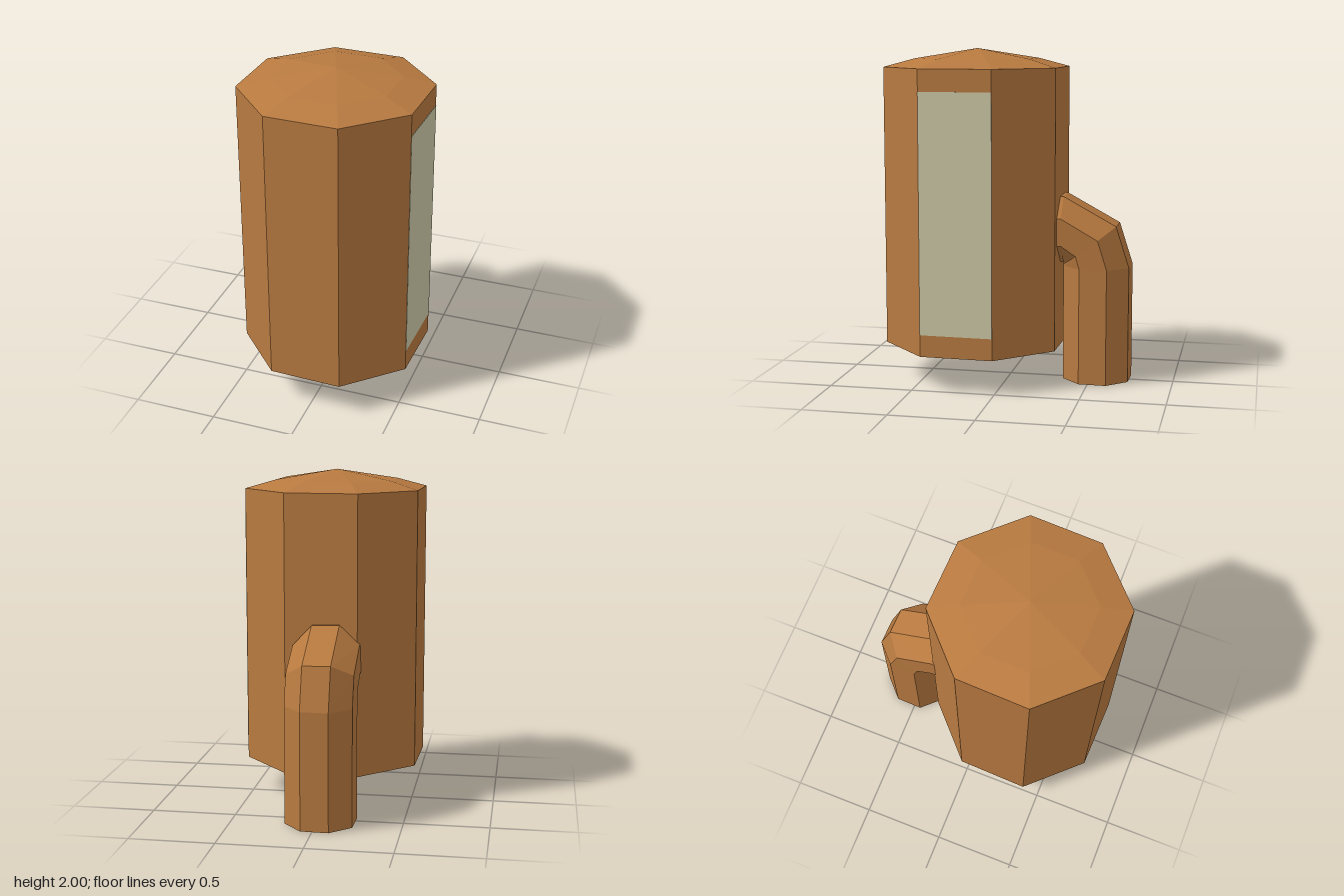
import * as THREE from 'three';

const SIDES = 8;
const TURN = THREE.MathUtils.degToRad(20.7); // slight twist shared by the drum and the pipe

function material(color, side = THREE.FrontSide) {
  return new THREE.MeshStandardMaterial({ color, flatShading: true, side });
}

function addMesh(group, name, geometry, mat) {
  const mesh = new THREE.Mesh(geometry, mat);
  mesh.name = name;
  group.add(mesh);
  return mesh;
}

// Open octagonal tube bent through rings: y, z of the centre and y, z of the outward direction
function bentPipe(radius, rings) {
  const geometry = new THREE.CylinderGeometry(radius, radius, 1, SIDES, rings.length - 1, true, TURN);
  const pos = geometry.attributes.position;
  for (let i = 0; i < pos.count; i++) {
    const [y, z, uy, uz] = rings[Math.floor(i / (SIDES + 1))];
    const out = -pos.getZ(i);
    pos.setY(i, y + out * uy);
    pos.setZ(i, z + out * uz);
  }
  geometry.computeVertexNormals();
  return geometry;
}

export function createModel() {
  const group = new THREE.Group();
  const brown = 0xb87a40;
  const radius = 0.567;
  const drumZ = 0.207;

  // Octagonal drum with a flat base and a low two-step roof
  const profile = [[0, 0.21], [radius, 0.21], [radius, 1.89], [0.38, 1.94], [0, 2]]
    .map(([x, y]) => new THREE.Vector2(x, y));
  const drum = addMesh(group, 'drum', new THREE.LatheGeometry(profile, SIDES, TURN), material(brown));
  drum.position.z = drumZ;

  // Pale panel lying on the left face
  const half = Math.PI / SIDES;
  const angle = TURN + 3 * half;
  const apothem = radius * Math.cos(half);
  const panel = addMesh(group, 'sidePanel',
    new THREE.BoxGeometry(2 * radius * Math.sin(half), 1.42, 0.004), material(0xccc8a6));
  panel.position.set(apothem * Math.sin(angle), 1.05, drumZ + apothem * Math.cos(angle));
  panel.rotation.y = angle;

  // Pipe leaving the back and bending down to the ground
  const pipe = addMesh(group, 'pipe', bentPipe(0.215, [
    [0.925, -0.29, 1, 0],
    [0.925, -0.335, 1, 0],
    [0.83, -0.495, 0.6, -0.8],
    [0.7, -0.535, 0, -1],
    [0, -0.535, 0, -1],
  ]), material(brown, THREE.DoubleSide));
  pipe.position.x = -0.02;

  return group;
}
